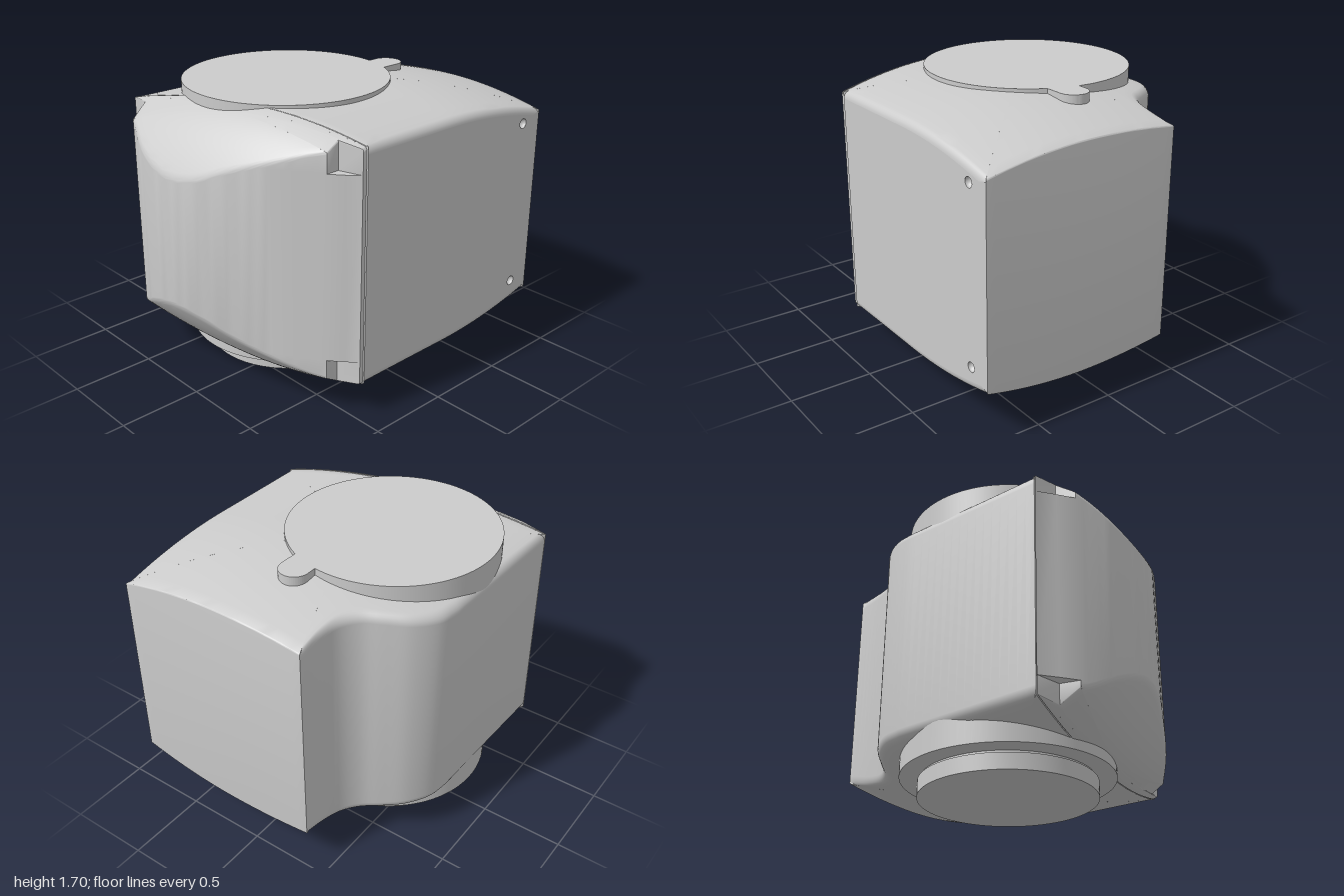
import * as THREE from 'three';
import { toCreasedNormals } from 'three/addons/utils/BufferGeometryUtils.js';

const MID = 1.81; // top and bottom mirror each other: y -> MID - y
const FRONT_Z = 0.835;
const material = new THREE.MeshStandardMaterial({ color: 0xcccccc, side: THREE.DoubleSide });

// Crowned top surface of the main body
function bodyTop(x, z) {
  const crown = z > 0.15 ? 0.075 * ((z - 0.15) / 0.65) ** 2 : 0.12 * ((z - 0.15) / 0.97) ** 2;
  const slope = 0.105 * (Math.max(0, x - 0.2) / 0.8) ** 2;
  return 1.685 - crown - slope;
}

// The cap falls away with distance from the slanted seam
function capTop(x, z) {
  const seamX = -0.74 + (z + 0.845) * 0.1701;
  const d = Math.max(0, (seamX - x) * 0.986);
  return bodyTop(x, z) - 0.3 * d - 1.9 * d * d;
}

// Sample one section of an outline, straight or smooth
function sample(points, smooth) {
  if (smooth) {
    const curve = new THREE.CatmullRomCurve3(points.map(([x, z]) => new THREE.Vector3(x, 0, z)));
    return curve.getSpacedPoints(32).map((p) => [p.x, p.z]);
  }
  const out = [points[0]];
  for (let i = 1; i < points.length; i++) {
    const [a, b] = [points[i - 1], points[i]];
    const n = Math.ceil(Math.hypot(b[0] - a[0], b[1] - a[1]) / 0.06);
    for (let k = 1; k <= n; k++) out.push([a[0] + (b[0] - a[0]) * k / n, a[1] + (b[1] - a[1]) * k / n]);
  }
  return out;
}

// Block with a crowned top and bottom; each section has its own edge radius and may be notched
function crownedBlock(sections, centre, top, ledgeY, skipWall) {
  const columns = [];
  const [cx, cz] = centre;
  for (const { points, notched, r, smooth } of sections) {
    const full = notched ? points : sample(points, smooth);
    const cut = notched || full;
    cut.forEach(([px, pz], i) => {
      const length = Math.hypot(px - cx, pz - cz);
      const half = [];
      const add = (s, drop) => {
        const x = cx + (px - cx) * s, z = cz + (pz - cz) * s;
        half.push([x, top(x, z) - drop, z]);
      };
      for (let k = 0; k < 14; k++) add((1 - r / length) * k / 14, 0);
      for (let k = 6; k >= 0; k--) {
        const t = k / 6 * Math.PI / 2;
        add(1 - r * (1 - Math.cos(t)) / length, r * (1 - Math.sin(t)));
      }
      const y = Math.min(ledgeY, half[half.length - 1][1]);
      half.push([px, y, pz], [full[i][0], y, full[i][1]]);
      columns.push([...half, ...half.slice().reverse().map(([x, v, z]) => [x, MID - v, z])]);
    });
  }
  const rows = columns[0].length, wall = rows / 2 - 1;
  const index = [];
  columns.forEach((col, i) => {
    const j = (i + 1) % columns.length;
    for (let k = 0; k < rows - 1; k++) {
      if (k === wall && skipWall && skipWall(col[k], columns[j][k])) continue;
      const a = i * rows + k, b = j * rows + k;
      if (k > 0) index.push(a, b, b + 1);
      if (k < rows - 2) index.push(a, b + 1, a + 1);
    }
  });
  const geometry = new THREE.BufferGeometry();
  geometry.setAttribute('position', new THREE.Float32BufferAttribute(columns.flat(2), 3));
  geometry.setIndex(index);
  return { geometry: toCreasedNormals(geometry, 0.5), columns, wall };
}

export function createModel() {
  const model = new THREE.Group();
  const add = (name, geometry) => {
    const mesh = new THREE.Mesh(geometry, material);
    mesh.name = name;
    model.add(mesh);
    return mesh;
  };

  // Main housing, with a hollow curve at its back corner
  const onFront = (p) => Math.abs(p[2] - FRONT_Z) < 1e-4;
  const body = crownedBlock([
    { points: [[1, -0.39], [1, FRONT_Z]], r: 0.008 },
    { points: [[1, FRONT_Z], [-0.449, FRONT_Z]], r: 0.04 },
    { points: [[-0.449, FRONT_Z], [-0.734, -0.845]], r: 0.003 },
    { points: [[-0.734, -0.845], [0.2, -0.825]], r: 0.05 },
    { points: [[0.2, -0.825], [0.33, -0.8], [0.46, -0.71], [0.55, -0.59], [0.62, -0.49], [0.72, -0.42], [0.85, -0.392], [1, -0.39]], r: 0.05, smooth: true },
  ], [0.1, -0.05], bodyTop, 9, (a, b) => onFront(a) && onFront(b));
  add('housing', body.geometry);

  // Front panel with two screw holes
  const edge = body.columns.map((c) => c[body.wall]).filter(onFront)
    .filter((p, i, all) => i === 0 || Math.abs(p[0] - all[i - 1][0]) > 1e-4)
    .sort((a, b) => b[0] - a[0]);
  const panel = new THREE.Shape([
    ...edge.map(([x, y]) => new THREE.Vector2(x, y)),
    ...edge.slice().reverse().map(([x, y]) => new THREE.Vector2(x, MID - y)),
  ]);
  for (const y of [0.405, 1.44]) {
    const hole = new THREE.Path();
    hole.absarc(0.85, y, 0.03, 0, Math.PI * 2, true);
    panel.holes.push(hole);
    const dimple = new THREE.SphereGeometry(0.03, 24, 8, 0, Math.PI * 2, Math.PI / 2, Math.PI / 2);
    add('screwHole', dimple.rotateX(Math.PI / 2)).position.set(0.85, y, FRONT_Z);
  }
  add('frontPanel', new THREE.ShapeGeometry(panel, 24).translate(0, 0, FRONT_Z));

  // Rounded side cap with a finger notch at each corner
  const cap = crownedBlock([
    { points: [[-0.74, -0.845], [-0.455, 0.83]], r: 0.003 },
    { points: [[-0.455, 0.83], [-0.48, 0.83]], r: 0.02 },
    { points: [[-0.48, 0.83], [-0.54, 0.765], [-0.6, 0.69]], notched: [[-0.48, 0.83], [-0.52, 0.69], [-0.6, 0.69]], r: 0.008 },
    { points: [[-0.6, 0.69], [-0.75, 0.46], [-0.88, 0.2], [-0.965, 0], [-1, -0.2], [-0.975, -0.43], [-0.88, -0.66]], r: 0.02, smooth: true },
    { points: [[-0.88, -0.66], [-0.815, -0.75], [-0.74, -0.845]], notched: [[-0.88, -0.66], [-0.77, -0.69], [-0.74, -0.845]], r: 0.008 },
  ], [-0.68, -0.05], capTop, 1.455);
  add('sideCap', cap.geometry);

  // Round top plate with a small tab
  const rad = THREE.MathUtils.degToRad;
  const plate = new THREE.Shape();
  plate.absarc(-0.09, 0.21, 0.617, rad(-8.4), rad(334.3), false);
  plate.lineTo(0.58, -0.06);
  plate.absarc(0.58, 0.03, 0.09, -Math.PI / 2, Math.PI / 2, false);
  const plateGeometry = new THREE.ExtrudeGeometry(plate, { depth: 0.25, bevelEnabled: false, curveSegments: 72 });
  add('topPlate', toCreasedNormals(plateGeometry.rotateX(-Math.PI / 2).translate(0, 1.45, 0), 0.5));

  // Bottom flange and the foot below it
  const flange = new THREE.CylinderGeometry(0.617, 0.617, 0.25, 96);
  add('bottomFlange', flange).position.set(-0.09, 0.235, -0.21);
  const footProfile = [[0, 0], [0.515, 0], [0.515, 0.095], [0.502, 0.1], [0.502, 0.13]];
  const foot = new THREE.LatheGeometry(footProfile.map(([x, y]) => new THREE.Vector2(x, y)), 96);
  add('foot', toCreasedNormals(foot, 0.5)).position.set(-0.087, 0, -0.205);

  return model;
}
